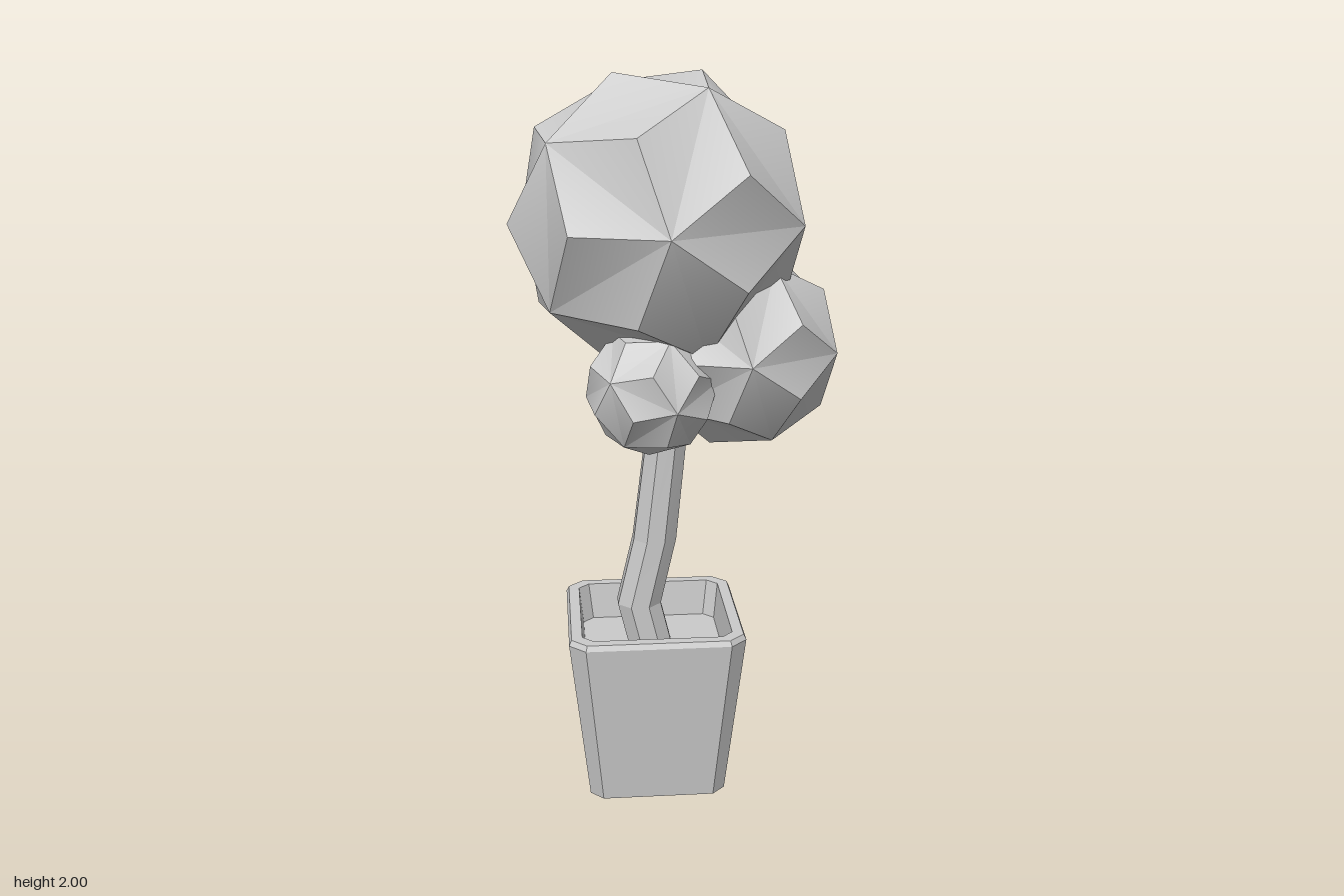
import * as THREE from 'three';
import { toCreasedNormals } from 'three/addons/utils/BufferGeometryUtils.js';

const material = new THREE.MeshStandardMaterial({ color: 0xcccccc });

// Skin closed rings of points (counter-clockwise from above, bottom to top), with fan caps.
function loft(rings, crease) {
  const n = rings[0].length;
  const points = rings.flat();
  const index = [];
  for (let r = 0; r < rings.length - 1; r++) {
    for (let i = 0; i < n; i++) {
      const a = r * n + i, b = r * n + (i + 1) % n;
      index.push(a, b, b + n, a, b + n, a + n);
    }
  }
  const last = (rings.length - 1) * n;
  for (let i = 1; i < n - 1; i++) {
    index.push(0, i + 1, i, last, last + i, last + i + 1);
  }
  const geometry = new THREE.BufferGeometry().setFromPoints(points);
  geometry.setIndex(index);
  return toCreasedNormals(geometry, crease);
}

// Square ring with cut corners.
function cutSquare(y, half, cut) {
  const ring = [];
  for (let k = 0; k < 4; k++) {
    const turn = k * Math.PI / 2;
    for (const z of [half - cut, cut - half]) {
      ring.push(new THREE.Vector3(half, y, z).applyAxisAngle(new THREE.Vector3(0, 1, 0), turn));
    }
  }
  return ring;
}

// Icosahedron with the middle of every face raised to the sphere:
// pairs of triangles read as thirty softly folded diamonds.
function foliageGeometry(radius) {
  const ring = (z, start) => Array.from({ length: 5 }, (_, k) => {
    const a = start + k * Math.PI * 0.4, s = Math.sqrt(1 - z * z);
    return new THREE.Vector3(s * Math.cos(a), s * Math.sin(a), z);
  });
  const h = 1 / Math.sqrt(5);
  const upper = ring(h, 0), lower = ring(-h, Math.PI / 5);
  const front = new THREE.Vector3(0, 0, 1), back = new THREE.Vector3(0, 0, -1);
  const points = [];
  const raise = (a, b, c) => {
    const tip = a.clone().add(b).add(c).normalize();
    points.push(a, b, tip, b, c, tip, c, a, tip);
  };
  for (let i = 0; i < 5; i++) {
    const j = (i + 1) % 5;
    raise(front, upper[i], upper[j]);
    raise(upper[i], lower[i], upper[j]);
    raise(upper[j], lower[i], lower[j]);
    raise(back, lower[j], lower[i]);
  }
  const geometry = new THREE.BufferGeometry().setFromPoints(points);
  geometry.scale(radius, radius, radius);
  return toCreasedNormals(geometry, 0.7);
}

export function createModel() {
  const model = new THREE.Group();
  const add = (name, geometry, x = 0, y = 0, z = 0) => {
    const mesh = new THREE.Mesh(geometry, material);
    mesh.name = name;
    mesh.position.set(x, y, z);
    model.add(mesh);
    return mesh;
  };

  // Tapered pot: outside, bevelled rim, inside wall and soil
  const potProfile = [
    [0, 0.192, 0.036], [0.48, 0.245, 0.045], [0.495, 0.238, 0.042],
    [0.495, 0.208, 0.03], [0.39, 0.196, 0.03],
  ];
  add('pot', loft(potProfile.map((p) => cutSquare(...p)), 0.1), -0.07);

  // Crooked eight-sided trunk: centre x, y, z and radius
  const trunkPath = [
    [-0.07, 0.36, 0, 0.066], [-0.11, 0.525, 0, 0.066], [-0.065, 0.72, 0.003, 0.065],
    [-0.03, 1.05, 0.02, 0.06], [-0.01, 1.35, 0.03, 0.055],
  ];
  add('trunk', loft(trunkPath.map(([x, y, z, r]) => Array.from({ length: 8 }, (_, i) => {
    const a = (i + 0.5) * Math.PI / 4;
    return new THREE.Vector3(x + r * Math.cos(a), y, z - r * Math.sin(a));
  })), 0.1));

  // Three clumps of leaves
  add('largeFoliage', foliageGeometry(0.408), -0.05, 1.62, 0);
  add('mediumFoliage', foliageGeometry(0.28), 0.17, 1.27, 0);
  add('smallFoliage', foliageGeometry(0.18), -0.08, 1.19, 0.15).rotation.set(0.15, 0.3, 0.2);

  return model;
}
